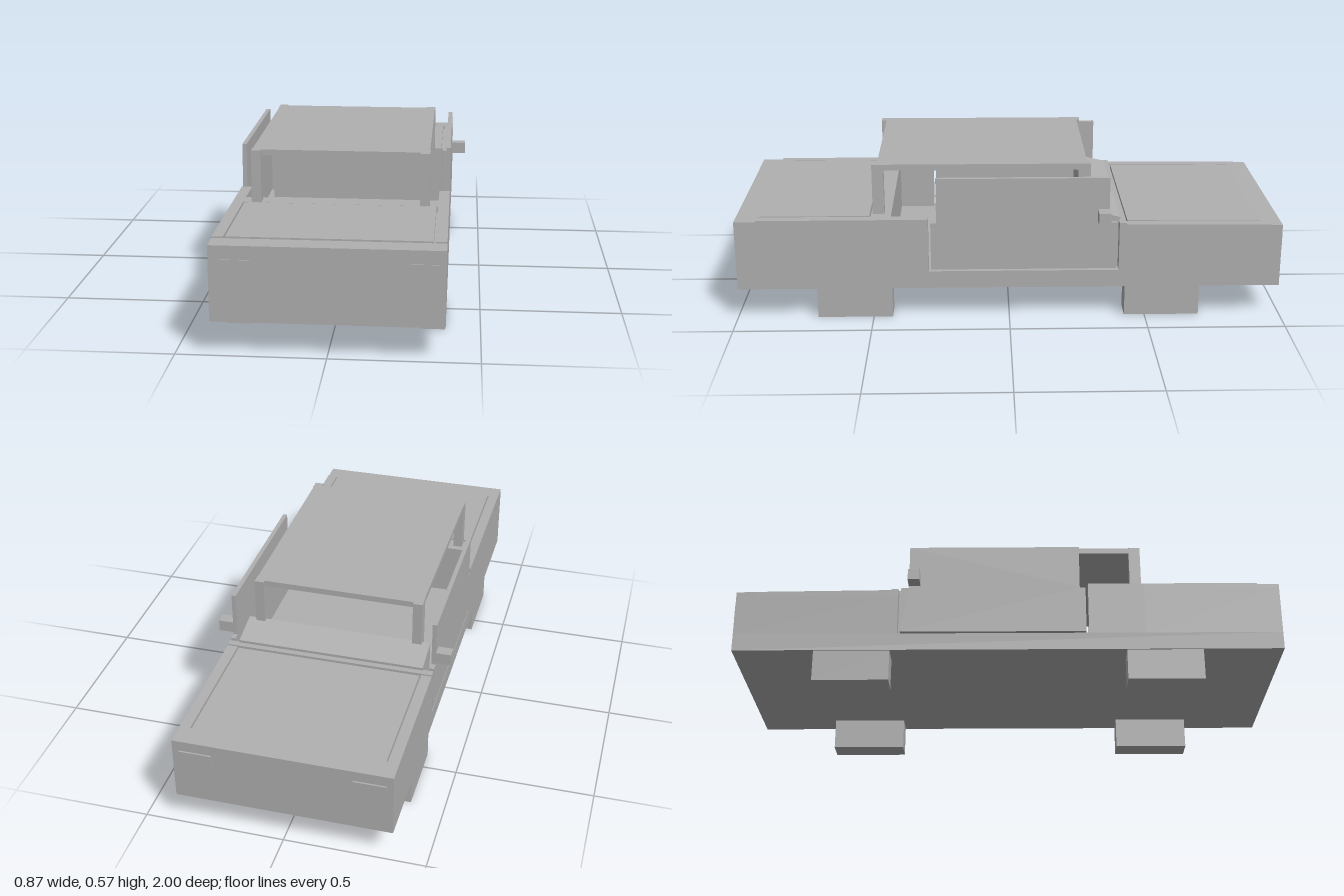
import * as THREE from 'three';

export function createModel() {
  const car = new THREE.Group();
  car.name = 'pickupCar';
  const grey = new THREE.MeshStandardMaterial({ color: 0xb0b0b0, name: 'plain grey' });

  const add = (name, geometry) => {
    const mesh = new THREE.Mesh(geometry, grey);
    mesh.name = name;
    car.add(mesh);
  };
  // box given by its limits on each axis
  const box = (name, [x0, x1], [y0, y1], [z0, z1]) => {
    const g = new THREE.BoxGeometry(x1 - x0, y1 - y0, z1 - z0);
    add(name, g.translate((x0 + x1) / 2, (y0 + y1) / 2, (z0 + z1) / 2));
  };
  // side outline of (z, y) points, extruded from x0 to x1
  const profile = (name, [x0, x1], points) => {
    const shape = new THREE.Shape(points.map(([z, y]) => new THREE.Vector2(z, y)));
    const g = new THREE.ExtrudeGeometry(shape, { depth: x1 - x0, bevelEnabled: false });
    add(name, g.rotateY(-Math.PI / 2).translate(x1, 0, 0));
  };
  const mirrored = (s, [a, b]) => (s > 0 ? [a, b] : [-b, -a]);

  const W = 0.383, IN = 0.345, END = 0.994;

  // lower body, with the cabin floor as its top
  box('floorPan', [-W, W], [0.115, 0.18], [-END, END]);

  // nose: core, front lip and the panel lying between narrow grooves
  box('noseCore', [-W, W], [0.18, 0.335], [-END, -0.4]);
  profile('noseLip', [-W, W], [[-END, 0.335], [-0.918, 0.335], [-0.918, 0.352], [-END, 0.35]]);
  profile('hoodPanel', [-IN + 0.006, IN - 0.006],
    [[-0.918, 0.335], [-0.432, 0.335], [-0.432, 0.357], [-0.918, 0.352]]);
  box('cowlEdge', [-W, W], [0.335, 0.362], [-0.426, -0.4]);
  profile('cowl', [-IN, IN], [[-0.405, 0.18], [-0.283, 0.18], [-0.283, 0.4], [-0.405, 0.372]]);

  // tail: core, rear lip, lid and the shelf in front of it
  box('tailCore', [-W, W], [0.18, 0.36], [0.5, END]);
  box('tailLip', [-W, W], [0.36, 0.375], [0.915, END]);
  box('tailLid', [-IN + 0.006, IN - 0.006], [0.36, 0.381], [0.508, 0.915]);
  box('rearShelf', [-IN, IN], [0.18, 0.379], [0.43, 0.5]);

  // roof between the four pillars
  box('roof', [-0.313, 0.313], [0.545, 0.567], [-0.285, 0.478]);

  for (const s of [1, -1]) {
    profile('hoodFender', mirrored(s, [IN, W]),
      [[-0.918, 0.335], [-0.426, 0.335], [-0.426, 0.357], [-0.918, 0.352]]);
    box('tailFender', mirrored(s, [IN, W]), [0.36, 0.38], [0.5, 0.915]);
    box('rearQuarter', mirrored(s, [IN, W]), [0.18, 0.38], [0.295, 0.5]);

    // door: wide lower panel with a narrower upper part, a thin gap all round
    profile('door', mirrored(s, [0.367, W]), [
      [-0.39, 0.187], [0.286, 0.187], [0.286, 0.365], [0.265, 0.365],
      [0.265, 0.534], [-0.362, 0.534], [-0.362, 0.365], [-0.39, 0.365],
    ]);
    box('sideMirror', mirrored(s, [W - 0.005, 0.437]), [0.373, 0.416], [-0.363, -0.32]);

    box('rearPillar', mirrored(s, [0.28, 0.315]), [0.375, 0.567], [0.455, 0.497]);
    box('frontPillar', mirrored(s, [0.28, 0.315]), [0.37, 0.567], [-0.297, -0.252]);

    // block wheels
    for (const [name, z] of [['rearWheel', [0.43, 0.705]], ['frontWheel', [-0.7, -0.425]]]) {
      box(name, mirrored(s, [0.29, 0.378]), [0, 0.116], z);
    }

    // lamp plates on both ends
    box('tailLamp', mirrored(s, [0.249, 0.36]), [0.274, 0.328], [END - 0.002, 0.997]);
    box('headLamp', mirrored(s, [0.245, 0.36]), [0.25, 0.312], [-1, -END + 0.002]);
  }
  return car;
}
